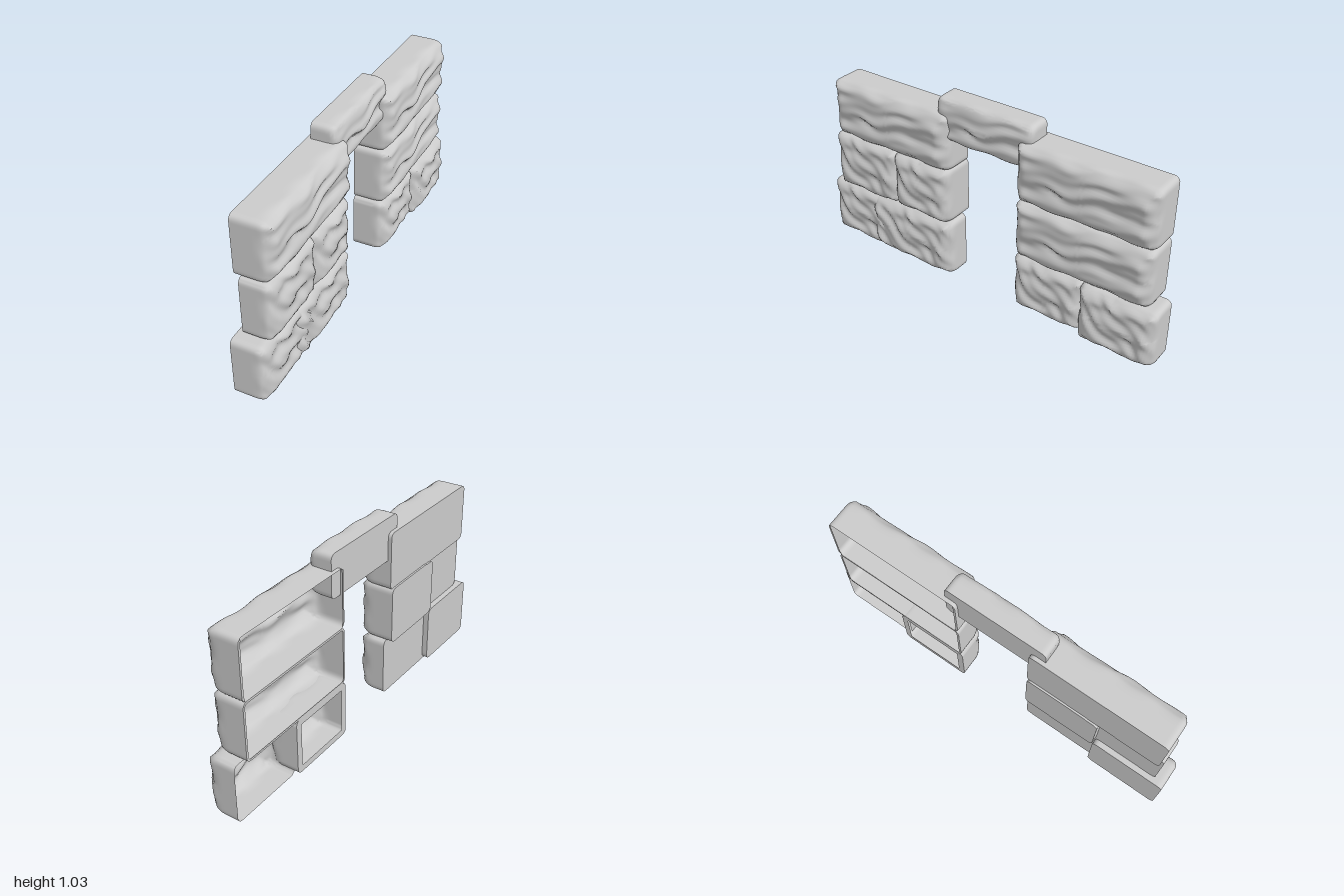
import * as THREE from 'three';
import { mergeVertices, toCreasedNormals } from 'three/addons/utils/BufferGeometryUtils.js';

const { clamp, smoothstep } = THREE.MathUtils;
const dent = (u, v, cu, cv, su, sv) => Math.exp(-(((u - cu) / su) ** 2) - ((v - cv) / sv) ** 2);

// Long stones: mostly horizontal chisel grooves (u along the stone, v upward)
function longRelief(u, v) {
  const w = v + 0.014 * Math.sin(u * 11 + 1) + 0.006 * Math.sin(u * 27);
  return 0.006 * Math.sin(w * 48 + 1.5 * Math.sin(u * 8)) + 0.004 * Math.sin(w * 85 + u * 12)
    + 0.004 * Math.sin(u * 17 + v * 9)
    - 0.022 * dent(u, w, 0.16, -0.02, 0.09, 0.02) - 0.022 * dent(u, w, -0.19, -0.03, 0.11, 0.02)
    - 0.012 * dent(u, w, -0.1, 0.07, 0.12, 0.018);
}

// Short stones: slanted, broader grooves
function shortRelief(u, v) {
  const w = v * 0.85 - u * 0.45 + 0.015 * Math.sin(u * 18 + v * 9);
  return 0.007 * Math.sin(w * 50 + 2 * Math.sin(u * 10 + 1)) + 0.004 * Math.sin(w * 90 - u * 20)
    + 0.004 * Math.sin(u * 25 + v * 12)
    - 0.014 * dent(u, v, 0.09, 0.07, 0.06, 0.03) - 0.012 * dent(u, v, -0.08, -0.05, 0.08, 0.03);
}

// One stone: sharp flat back at -x, rounded and chiselled face at +x.
// A rim value opens the back, leaving a border of that width.
function stone({ name, x, y, z, relief = longRelief, bulge = 0.024, rim = null, shift = 0 }) {
  const [d, h, w] = [x, y, z].map(([a, b]) => b - a);
  const r = 0.028, step = 0.012;
  const geo = new THREE.BoxGeometry(d, h, w, 12, Math.round(h / step), Math.round(w / step));

  if (rim !== null) {
    const back = geo.groups[1], p = geo.attributes.position, src = geo.index.array, kept = [];
    for (let i = 0; i < src.length; i += 3) {
      const tri = [src[i], src[i + 1], src[i + 2]];
      const inBack = i >= back.start && i < back.start + back.count;
      const inner = tri.every(k => Math.abs(p.getY(k)) <= h / 2 - rim && Math.abs(p.getZ(k)) <= w / 2 - rim);
      if (!inBack || !inner) kept.push(...tri);
    }
    geo.setIndex(kept);
  }
  geo.clearGroups();

  const pos = geo.attributes.position, v = new THREE.Vector3(), core = new THREE.Vector3();
  for (let i = 0; i < pos.count; i++) {
    v.fromBufferAttribute(pos, i);
    const edge = Math.min(h / 2 - Math.abs(v.y), w / 2 - Math.abs(v.z));
    const front = smoothstep(v.x, d / 2 - 0.06, d / 2);
    const { y: py, z: pz } = v;
    // round every edge except those of the back
    core.set(Math.min(v.x, d / 2 - r), clamp(v.y, r - h / 2, h / 2 - r), clamp(v.z, r - w / 2, w / 2 - r));
    v.sub(core);
    const reach = Math.max(Math.abs(v.x), Math.abs(v.y), Math.abs(v.z));
    if (reach > 0) v.setLength(reach);
    v.add(core);
    // chiselled face, fading toward the edges
    const inside = smoothstep(edge, 0, 0.06);
    v.x += front * (bulge * inside + relief(pz + shift, py) * (0.35 + 0.65 * inside));
    // slightly wavy sides near the face
    const wave = 0.004 * front * (1 - inside);
    v.y -= Math.sign(py) * wave * (1 + Math.sin(pz * 28 + shift * 40));
    v.z -= Math.sign(pz) * wave * (1 + Math.sin(py * 35 + shift * 40));
    pos.setXYZ(i, v.x, v.y, v.z);
  }
  geo.deleteAttribute('normal');
  geo.deleteAttribute('uv');
  const material = new THREE.MeshStandardMaterial({
    color: 0xcccccc, side: rim === null ? THREE.FrontSide : THREE.DoubleSide,
  });
  const mesh = new THREE.Mesh(toCreasedNormals(mergeVertices(geo, 1e-5), 0.9), material);
  mesh.name = name;
  mesh.position.set((x[0] + x[1]) / 2, (y[0] + y[1]) / 2, (z[0] + z[1]) / 2);
  return mesh;
}

export function createModel() {
  const model = new THREE.Group();
  model.name = 'stoneGateway';

  // Pillar with closed backs
  const front = new THREE.Group();
  front.name = 'frontPillar';
  front.add(
    stone({ name: 'frontTopStone', x: [-0.1, 0.07], y: [0.635, 0.947], z: [0.19, 0.925] }),
    stone({ name: 'frontMiddleOuterStone', x: [-0.07, 0.075], y: [0.328, 0.64], z: [0.535, 0.94], relief: shortRelief, bulge: 0.015 }),
    stone({ name: 'frontMiddleInnerStone', x: [-0.11, 0.07], y: [0.328, 0.642], z: [0.195, 0.545], relief: shortRelief, shift: 0.03 }),
    // backing that widens the inner middle stone behind its neighbour
    stone({ name: 'frontMiddleBackStone', x: [-0.11, 0.03], y: [0.33, 0.638], z: [0.195, 0.595], relief: shortRelief, bulge: 0 }),
    stone({ name: 'frontBottomOuterStone', x: [-0.1, 0.06], y: [0.01, 0.328], z: [0.595, 1], relief: shortRelief, bulge: 0.016 }),
    stone({ name: 'frontBottomInnerStone', x: [-0.07, 0.06], y: [0.005, 0.33], z: [0.185, 0.72], relief: shortRelief, shift: 0.05 }),
  );

  // Pillar with hollow, open backs
  const back = new THREE.Group();
  back.name = 'backPillar';
  back.add(
    stone({ name: 'backTopStone', x: [-0.1, 0.07], y: [0.632, 0.945], z: [-0.95, -0.215], rim: 0 }),
    stone({ name: 'backMiddleStone', x: [-0.1, 0.068], y: [0.318, 0.632], z: [-0.948, -0.213], rim: 0 }),
    stone({ name: 'backBottomInnerStone', x: [-0.1, 0.06], y: [0.012, 0.32], z: [-0.6, -0.207], relief: shortRelief, rim: 0.03 }),
    stone({ name: 'backBottomOuterStone', x: [-0.07, 0.08], y: [0, 0.318], z: [-1, -0.59], relief: shortRelief, rim: 0, shift: 0.02 }),
  );

  const lintel = stone({ name: 'lintel', x: [-0.08, 0.045], y: [0.797, 1.027], z: [-0.285, 0.27], bulge: 0.008, shift: 0.06 });

  model.add(front, back, lintel);
  return model;
}
